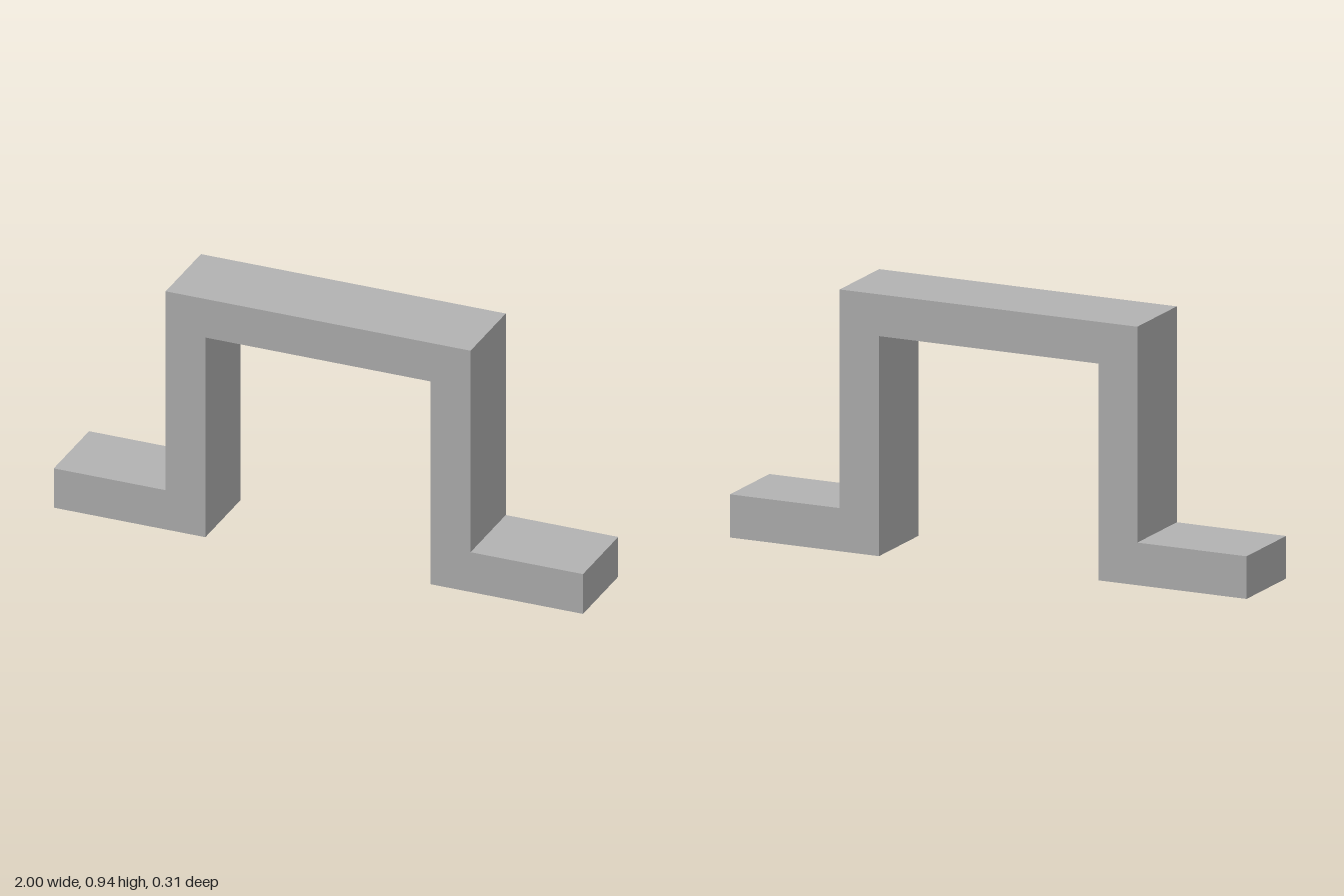
import * as THREE from 'three';

export function createModel() {
  const group = new THREE.Group();
  const grey = new THREE.MeshStandardMaterial({ color: 0xb2b2b2 });
  grey.name = 'plain grey';

  // Stepped outline of the strap; the foot at -x sits slightly higher
  const depth = 0.31;
  const outline = [
    [-1, 0.012], [-0.427, 0.012], [-0.427, 0.79], [0.423, 0.79], [0.423, 0], [1, 0],
    [1, 0.155], [0.575, 0.155], [0.575, 0.94], [-0.577, 0.94], [-0.577, 0.165], [-1, 0.165],
  ];
  const shape = new THREE.Shape(outline.map(([x, y]) => new THREE.Vector2(x, y)));

  // One solid bracket: two feet, two uprights and a bridge
  const geometry = new THREE.ExtrudeGeometry(shape, { depth, bevelEnabled: false });
  geometry.translate(0, 0, -depth / 2);
  const bracket = new THREE.Mesh(geometry, grey);
  bracket.name = 'bracket';
  group.add(bracket);
  return group;
}
